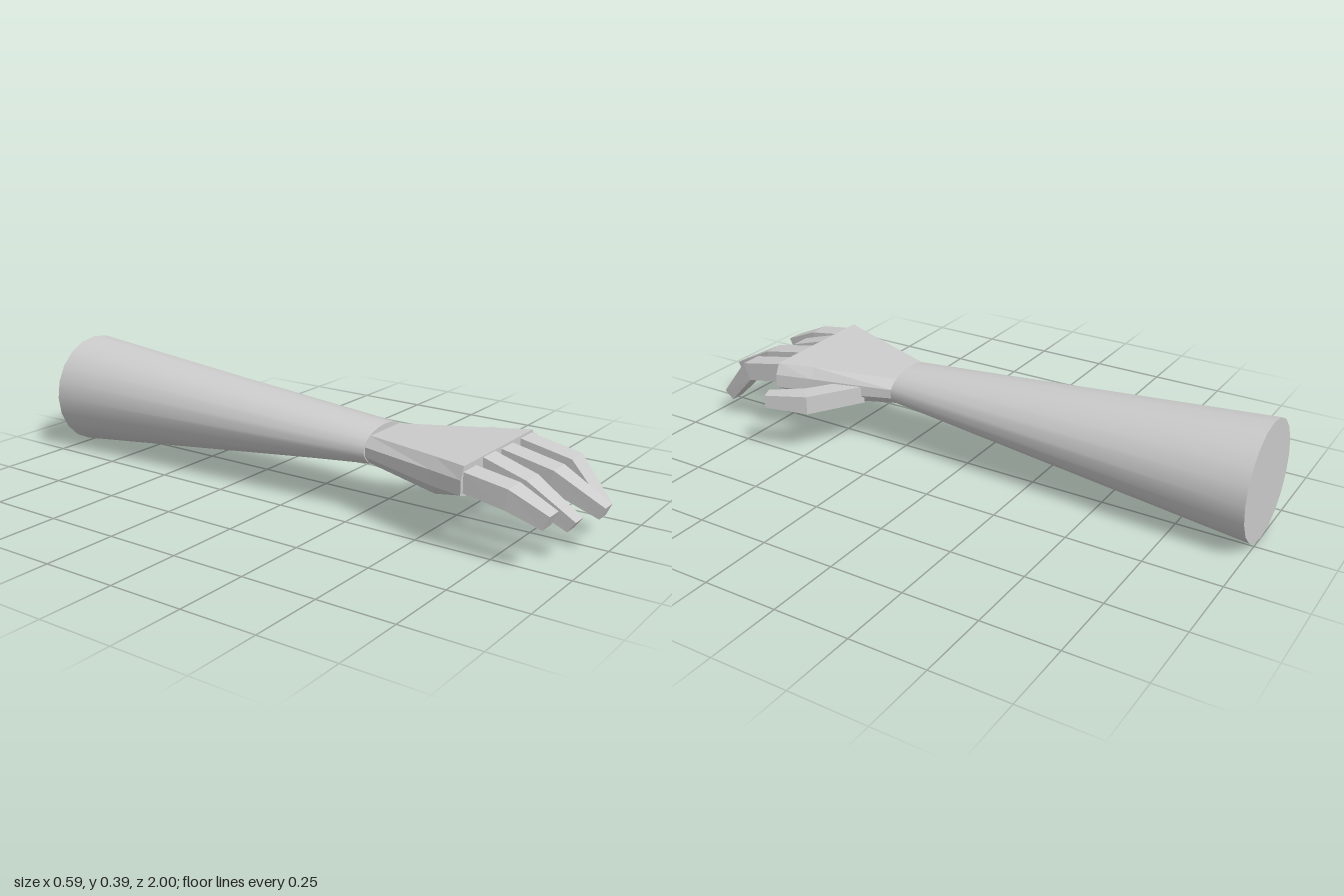
import * as THREE from 'three';

const material = new THREE.MeshStandardMaterial({ color: 0xcccccc });
const flatMaterial = new THREE.MeshStandardMaterial({ color: 0xcccccc, flatShading: true });

// Skin a closed solid over rings of [x, y, z], each counter-clockwise seen from its far end.
function loft(name, rings) {
  const n = rings[0].length;
  const index = [];
  for (let i = 0; i < rings.length - 1; i++) {
    for (let j = 0; j < n; j++) {
      const a = i * n + j, b = i * n + (j + 1) % n;
      index.push(a, b, b + n, a, b + n, a + n);
    }
  }
  const last = (rings.length - 1) * n;
  for (let j = 1; j < n - 1; j++) {
    index.push(0, j + 1, j, last, last + j, last + j + 1);
  }
  const geometry = new THREE.BufferGeometry();
  geometry.setAttribute('position', new THREE.Float32BufferAttribute(rings.flat(2), 3));
  geometry.setIndex(index);
  const flat = geometry.toNonIndexed();
  flat.computeVertexNormals();
  const mesh = new THREE.Mesh(flat, flatMaterial);
  mesh.name = name;
  return mesh;
}

// Tapered round forearm that flattens to an oval at the wrist.
function forearm() {
  const geometry = new THREE.CylinderGeometry(0.12, 0.193, 1.27, 20);
  geometry.rotateX(Math.PI / 2);
  const p = geometry.attributes.position;
  for (let i = 0; i < p.count; i++) {
    const t = p.getZ(i) / 1.27 + 0.5;
    const squash = t > 0.5 ? 0.0625 / 0.12 : 1;
    p.setXYZ(i, p.getX(i) - 0.062, p.getY(i) * squash + 0.195 + 0.017 * t, p.getZ(i) - 0.365);
  }
  geometry.computeVertexNormals();
  const mesh = new THREE.Mesh(geometry, material);
  mesh.name = 'forearm';
  return mesh;
}

// Eight-cornered palm section: half widths and heights of its bottom, sides and top.
function palmRing(z, side, top, bottom, yBottom, yLow, yHigh, yTop) {
  const half = [[bottom, yBottom], [side, yLow], [side, yHigh], [top, yTop]];
  const right = half.map(([w, y]) => [-0.062 + w, y, z]);
  const left = half.map(([w, y]) => [-0.062 - w, y, z]).reverse();
  return [...right, ...left];
}

// Finger section: x range, then the top edge (y, z) and the bottom edge (y, z).
const fingerRing = (x0, x1, yT, zT, yB, zB) =>
  [[x0, yB, zB], [x1, yB, zB], [x1, yT, zT], [x0, yT, zT]];

// Thumb section: inner and outer (x, z) with a height range.
const thumbRing = (xi, zi, xo, zo, y0, y1) =>
  [[xi, y0, zi], [xo, y0, zo], [xo, y1, zo], [xi, y1, zi]];

export function createModel() {
  const model = new THREE.Group();
  model.name = 'arm';
  model.add(forearm());

  model.add(loft('palm', [
    palmRing(0.26, 0.108, 0.078, 0.085, 0.17, 0.195, 0.225, 0.255),
    palmRing(0.55, 0.194, 0.172, 0.165, 0.151, 0.185, 0.232, 0.268),
    palmRing(0.67, 0.232, 0.214, 0.205, 0.182, 0.19, 0.235, 0.273),
  ]));

  // Each finger runs from the palm to the knuckle to the tip.
  const fingers = {
    littleFinger: [
      [-0.28, -0.205, 0.258, 0.66, 0.195, 0.66],
      [-0.281, -0.207, 0.235, 0.81, 0.172, 0.8],
      [-0.275, -0.22, 0.18, 0.935, 0.136, 0.915]],
    ringFinger: [
      [-0.165, -0.091, 0.272, 0.66, 0.205, 0.66],
      [-0.166, -0.094, 0.226, 0.81, 0.168, 0.79],
      [-0.156, -0.108, 0.131, 0.96, 0.097, 0.935]],
    middleFinger: [
      [-0.053, 0.021, 0.267, 0.66, 0.2, 0.66],
      [-0.055, 0.018, 0.231, 0.84, 0.17, 0.825],
      [-0.047, 0.001, 0.148, 1.0, 0.111, 0.983]],
    indexFinger: [
      [0.071, 0.145, 0.267, 0.66, 0.2, 0.66],
      [0.07, 0.145, 0.231, 0.84, 0.172, 0.815],
      [0.079, 0.131, 0.094, 0.953, 0.066, 0.92]],
  };
  for (const [name, sections] of Object.entries(fingers)) {
    model.add(loft(name, sections.map((s) => fingerRing(...s))));
  }

  model.add(loft('thumb', [
    thumbRing(0.04, 0.425, 0.07, 0.37, 0.164, 0.224),
    thumbRing(0.192, 0.53, 0.245, 0.48, 0.162, 0.225),
    thumbRing(0.247, 0.638, 0.293, 0.62, 0.172, 0.216),
  ]));
  return model;
}
